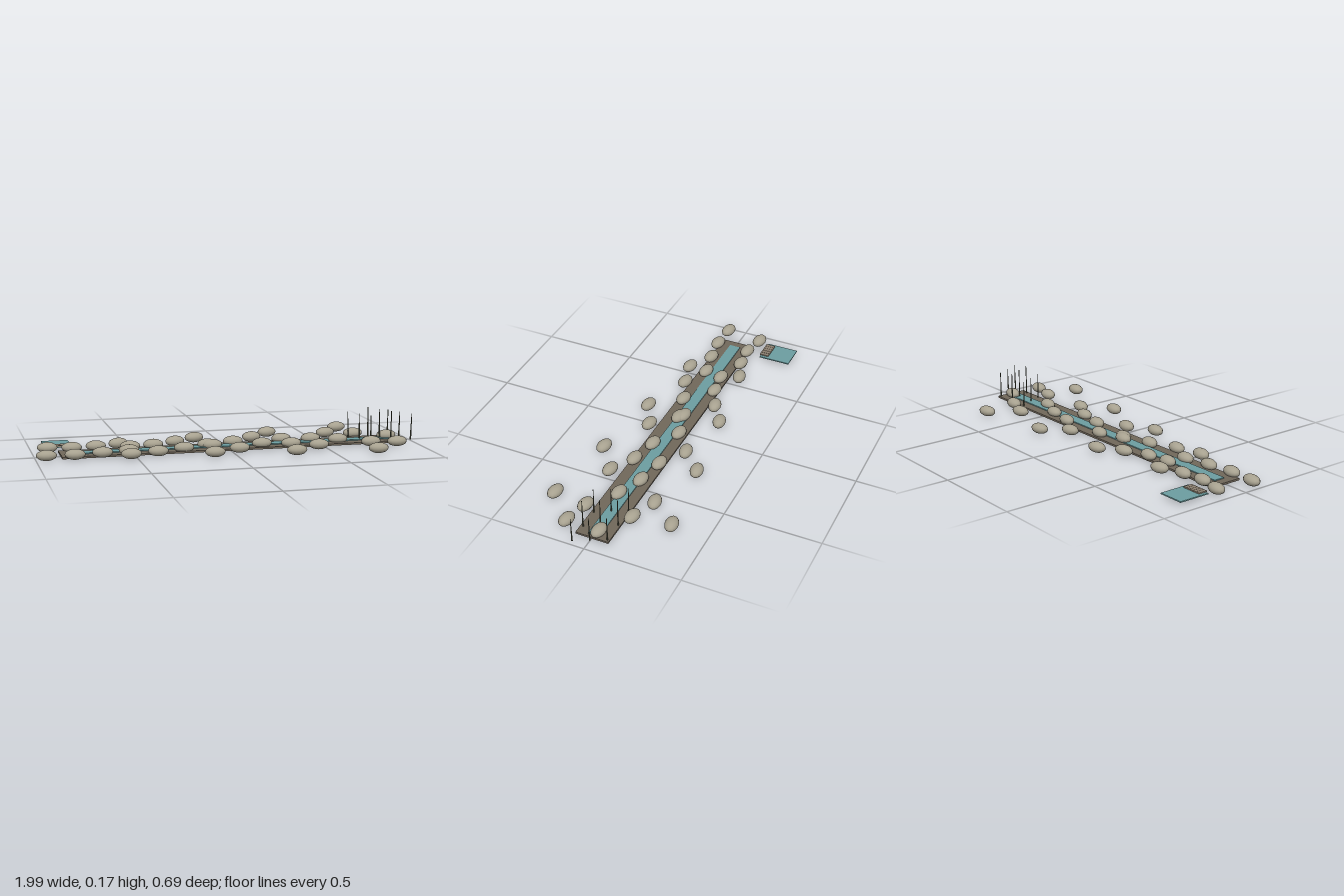
import * as THREE from 'three';

const mat = (name, color) => {
  const m = new THREE.MeshStandardMaterial({ color });
  m.name = name;
  return m;
};

export function createModel() {
  const root = new THREE.Group();
  root.name = 'streamBed';
  const soil = mat('soil brown', 0x70675a);
  const water = mat('water teal', 0x6c9da0);
  const rock = mat('stone grey', 0xa8a290);
  const reedMat = mat('reed olive', 0x545644);
  const wood = mat('slat wood', 0x8f8272);

  const add = (name, geo, material, x, y, z, parent = root) => {
    const m = new THREE.Mesh(geo, material);
    m.name = name;
    m.position.set(x, y, z);
    parent.add(m);
    return m;
  };

  // Long channel with a strip of water along it
  add('channelBed', new THREE.BoxGeometry(1.795, 0.01, 0.174), soil, 0.0275, 0.009, -0.003);
  add('channelWater', new THREE.BoxGeometry(1.735, 0.006, 0.06), water, 0.0425, 0.016, -0.005);

  // Side pool with a small slatted crossing
  add('pool', new THREE.BoxGeometry(0.139, 0.006, 0.17), water, -0.858, 0.016, -0.255);
  for (let i = 0; i < 5; i++) {
    add('slat', new THREE.BoxGeometry(0.02, 0.006, 0.05), wood, -0.902 + i * 0.0218, 0.022, -0.189);
  }

  // Flattened stones scattered along both banks: [x, z]
  const backStones = [
    [-0.922, -0.115], [-0.8, -0.09], [-0.674, -0.102], [-0.551, -0.144], [-0.505, -0.053],
    [-0.38, -0.07], [-0.254, -0.126], [-0.134, -0.203], [-0.107, -0.011], [-0.086, 0.008],
    [0.04, -0.051], [0.166, -0.147], [0.283, -0.259], [0.307, -0.064], [0.46, -0.035],
    [0.586, -0.171], [0.698, -0.313], [0.725, -0.118], [0.88, -0.019],
  ];
  const frontStones = [
    [-0.949, 0.086], [-0.807, 0.091], [-0.666, 0.072], [-0.527, 0.043], [-0.532, 0.142],
    [-0.388, 0.107], [-0.243, 0.051], [-0.115, 0.198], [0.032, 0.123], [0.174, 0.035],
    [0.299, 0.251], [0.323, 0.067], [0.452, 0.139], [0.594, 0.019], [0.717, 0.305],
    [0.741, 0.126], [0.874, 0.158],
  ];
  const stoneGeo = new THREE.SphereGeometry(1, 14, 10).scale(0.052, 0.0272, 0.034);
  const stones = new THREE.Group();
  stones.name = 'stones';
  root.add(stones);
  for (const [x, z] of [...backStones, ...frontStones]) {
    const stone = add('stone', stoneGeo, rock, x, 0.0285, z, stones);
    // stones far behind turn one way, the others the opposite way
    stone.rotation.y = z < -0.12 ? 0.16 : -0.12;
  }

  // Thin tapered reeds in three rows at the outlet
  const reeds = new THREE.Group();
  reeds.name = 'reeds';
  root.add(reeds);
  for (let i = 0; i < 9; i++) {
    const h = Math.floor(i / 3) === 1 ? 0.158 : 0.138;
    const geo = new THREE.CylinderGeometry(0.0018, 0.0042, h, 6).translate(0, h / 2, 0);
    const reed = add('reed', geo, reedMat, 0.687 + i * 0.0372, 0.014, -0.079 + (i % 3) * 0.0745, reeds);
    reed.rotation.z = 0.03 - 0.008 * i;
  }
  return root;
}
